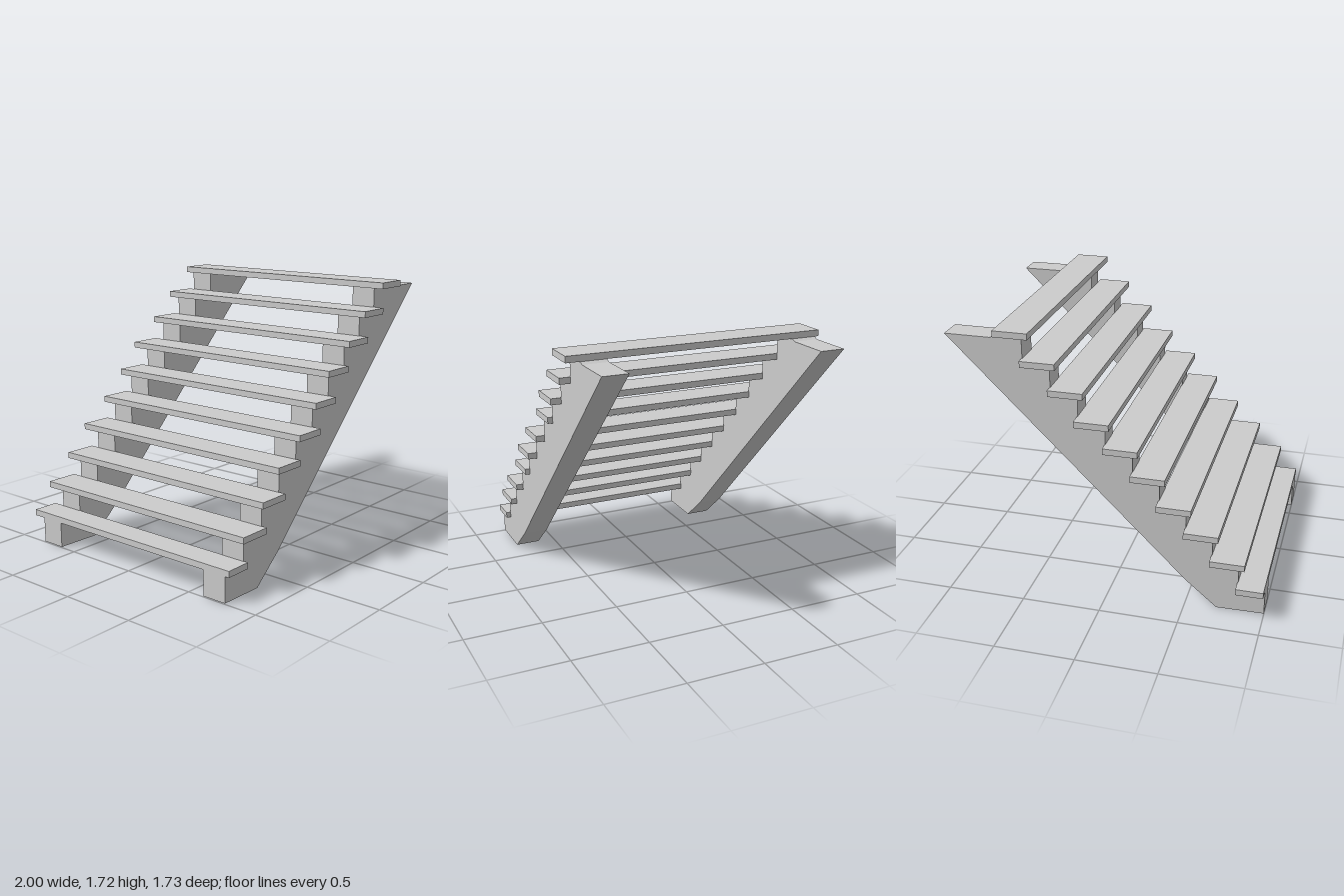
import * as THREE from 'three';

const STEPS = 10, RUN = 0.168, RISE = 0.1675, FIRST = 0.17;
const TREAD_T = 0.04, TREAD_L = 1.674, NOSING = 0.045;
const riserX = (i) => -1 + RUN * i;
const treadY = (i) => FIRST + RISE * i;

// Each board is fitted a little unevenly: position of its left end
const leftEnds = [0.808, 0.816, 0.824, 0.81, 0.838, 0.834, 0.81, 0.845, 0.848, 0.868];

export function createModel() {
  const model = new THREE.Group();
  model.name = 'staircase';
  const material = new THREE.MeshStandardMaterial({ color: 0xcccccc });

  // Sawtooth stringer: sloping underside, notched top edge
  const outline = new THREE.Shape();
  outline.moveTo(-1, 0.005);
  outline.lineTo(-0.7, 0);
  outline.lineTo(-0.5, 0.17);
  outline.lineTo(1, 1.665);
  outline.lineTo(0.71, 1.665);
  outline.lineTo(0.685, treadY(STEPS - 1));
  for (let i = STEPS - 1; i >= 0; i--) {
    outline.lineTo(riserX(i), treadY(i));
    if (i > 0) outline.lineTo(riserX(i), treadY(i - 1));
  }
  outline.closePath();

  const width = 0.163;
  const stringerGeometry = new THREE.ExtrudeGeometry(outline, { depth: width, bevelEnabled: false });
  stringerGeometry.translate(0, 0, -width / 2);
  for (const [name, z] of [['frontStringer', 0.696], ['backStringer', -0.699]]) {
    const stringer = new THREE.Mesh(stringerGeometry, material);
    stringer.name = name;
    stringer.position.z = z;
    model.add(stringer);
  }

  // Treads overhang the riser line, except the lowest, which is flush
  const treads = new THREE.Group();
  treads.name = 'treads';
  for (let i = 0; i < STEPS; i++) {
    const x0 = i === 0 ? -1 : riserX(i) - NOSING;
    const x1 = i === STEPS - 1 ? 0.685 : riserX(i + 1) + 0.004;
    const tread = new THREE.Mesh(new THREE.BoxGeometry(x1 - x0, TREAD_T, TREAD_L), material);
    tread.name = `tread${i + 1}`;
    tread.position.set((x0 + x1) / 2, treadY(i) + TREAD_T / 2, leftEnds[i] - TREAD_L / 2);
    treads.add(tread);
  }
  model.add(treads);
  return model;
}
